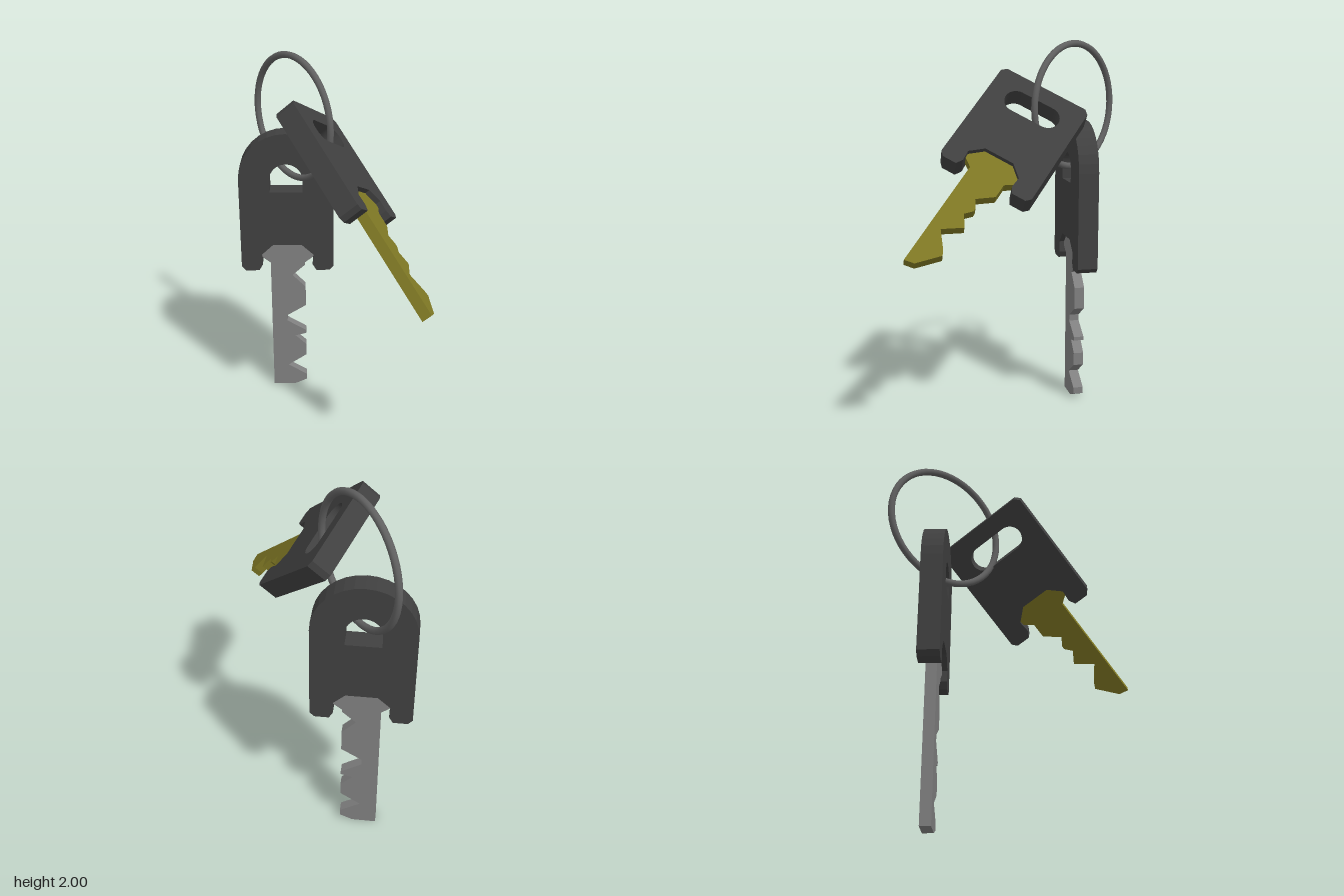
import * as THREE from 'three';

const mat = (name, color) => {
  const m = new THREE.MeshStandardMaterial({ color });
  m.name = name;
  return m;
};

// Flat plate from a 2D shape, centred on its own thickness
function plate(name, shape, depth, material) {
  const geo = new THREE.ExtrudeGeometry(shape, { depth, bevelEnabled: false, curveSegments: 12 });
  geo.translate(0, 0, -depth / 2);
  const mesh = new THREE.Mesh(geo, material);
  mesh.name = name;
  return mesh;
}

const points = (list) => list.map(([x, y]) => new THREE.Vector2(x, y));

const W = 0.258;  // half width of a key head
const B = -0.325; // bottom of the head's two legs

// Key head: two legs around a notch, topped by the given outline
function headShape(topOutline) {
  const leg = [[0.08, B + 0.155], [0.145, B + 0.095], [0.14, B + 0.035], [0.16, B], [0.235, B], [W, B + 0.025]];
  const mirrored = leg.map(([x, y]) => [-x, y]).reverse();
  return new THREE.Shape(points([...leg, ...topOutline, ...mirrored]));
}

// Blade: straight on the left, teeth on the right, flared bow inside the notch
function bladeShape(teeth, tip) {
  return new THREE.Shape(points([
    [-0.097, tip], ...teeth,
    [0.097, -0.29], [0.15, -0.25], [0.15, -0.19], [0.09, -0.15],
    [-0.09, -0.15], [-0.15, -0.19], [-0.15, -0.25], [-0.097, -0.29],
  ]));
}

// Place a key by its width direction and its length direction
function orient(group, width, length, position) {
  const v = new THREE.Vector3(...length).normalize();
  const n = new THREE.Vector3(...width).cross(v).normalize();
  const u = new THREE.Vector3().crossVectors(v, n);
  group.quaternion.setFromRotationMatrix(new THREE.Matrix4().makeBasis(u, v, n));
  group.position.set(...position);
}

export function createModel() {
  const model = new THREE.Group();
  const black = mat('black plastic', 0x404040);
  const steel = mat('steel', 0x808080);
  const brass = mat('brass', 0x7f7824);
  const ringMetal = mat('ring metal', 0x606060);

  // Split ring
  const ring = new THREE.Mesh(new THREE.TorusGeometry(0.327, 0.018, 10, 56), ringMetal);
  ring.name = 'keyRing';
  ring.rotation.y = Math.PI / 2;
  ring.position.set(0.03, 1.655, -0.418);
  model.add(ring);

  // Steel key with an arched head
  const steelKey = new THREE.Group();
  steelKey.name = 'steelKey';
  const arch = [];
  for (let i = 0; i <= 16; i++) {
    const a = (i / 16) * Math.PI;
    arch.push([W * Math.cos(a), 0.217 + W * Math.sin(a)]);
  }
  const archedHead = headShape(arch);
  const archHole = new THREE.Path();
  archHole.moveTo(-0.09, 0.145);
  archHole.lineTo(0.09, 0.145);
  archHole.lineTo(0.09, 0.215);
  archHole.absarc(0, 0.215, 0.09, 0, Math.PI, false);
  archedHead.holes.push(archHole);
  steelKey.add(plate('archedHead', archedHead, 0.11, black));
  const steelTeeth = [
    [0.03, -1.095], [0.097, -1.065], [0.097, -1.03], [-0.01, -0.965], [0.097, -0.895], [0.097, -0.825],
    [0.035, -0.765], [0.097, -0.75], [0.097, -0.73], [-0.01, -0.665], [-0.01, -0.63], [0.097, -0.565],
    [0.097, -0.445], [0.025, -0.37], [0.097, -0.305],
  ];
  steelKey.add(plate('steelBlade', bladeShape(steelTeeth, -1.095), 0.055, steel));
  orient(steelKey, [0.797, 0, 0.604], [0, 1, 0], [0.015, 1.095, -0.468]);
  model.add(steelKey);

  // Brass key with a square head
  const brassKey = new THREE.Group();
  brassKey.name = 'brassKey';
  const squareHead = headShape([[W, 0.3], [0.233, 0.325], [-0.233, 0.325], [-W, 0.3]]);
  const slot = new THREE.Path();
  slot.absarc(0.09, 0.17, 0.065, -Math.PI / 2, Math.PI / 2, false);
  slot.absarc(-0.09, 0.17, 0.065, Math.PI / 2, Math.PI * 1.5, false);
  slot.closePath();
  squareHead.holes.push(slot);
  brassKey.add(plate('squareHead', squareHead, 0.11, black));
  const brassTeeth = [
    [-0.045, -0.89], [0.045, -0.785], [0.03, -0.755], [-0.037, -0.668], [0.055, -0.6], [0.014, -0.535],
    [0.046, -0.498], [0.046, -0.48], [0.018, -0.435], [0.097, -0.37],
  ];
  brassKey.add(plate('brassBlade', bladeShape(brassTeeth, -0.9), 0.055, brass));
  orient(brassKey, [0.81, -0.436, -0.395], [-0.034, 0.63, -0.775], [-0.01, 1.51, 0.018]);
  model.add(brassKey);

  return model;
}
